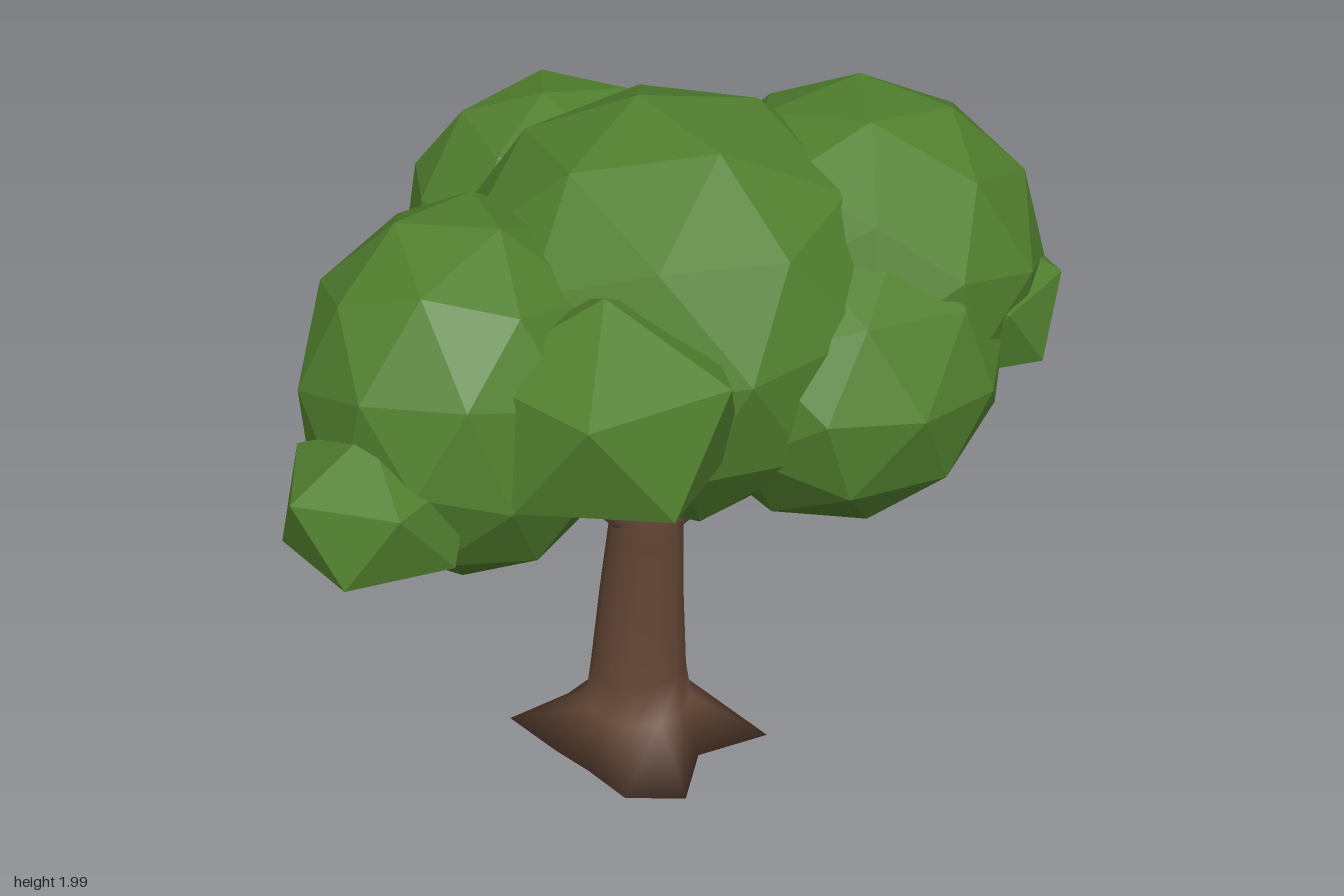
import * as THREE from 'three';

const bark = new THREE.MeshStandardMaterial({ color: 0x674938 });
bark.name = 'bark brown';
const leaf = new THREE.MeshStandardMaterial({ color: 0x517f2e });
leaf.name = 'leaf green';
leaf.flatShading = true;

// Faceted leaf clump: spin turns it about y, then tiltX and tiltZ lean its top vertex
function clump(name, detail, [x, y, z], [rx, ry, rz], spin, tiltX = 0, tiltZ = 0) {
  const g = new THREE.IcosahedronGeometry(1, detail);
  g.rotateZ(-Math.atan(2 / (1 + Math.sqrt(5))));
  g.rotateY(spin);
  g.rotateX(tiltX);
  g.rotateZ(tiltZ);
  g.scale(rx, ry, rz);
  const m = new THREE.Mesh(g, leaf);
  m.name = name;
  m.position.set(x, y, z);
  return m;
}

// Leaning trunk: stacked rings, the lowest one star-shaped for the roots
function makeTrunk() {
  const roots = [0.365, 0.21, 0.33, 0.3, 0.23, 0.25, 0.365, 0.25, 0.22, 0.3, 0.22, 0.24];
  const rings = [ // y, centre x, centre z, radius
    [0.005, -0.165, 0, 0], [0.13, -0.16, 0, 0.148], [0.25, -0.16, 0.003, 0.132],
    [0.5, -0.147, 0.02, 0.115], [0.75, -0.128, 0.055, 0.1], [0.88, -0.12, 0.085, 0.088],
    [0.91, -0.12, 0.087, 0.07],
  ];
  const n = roots.length, pos = [], idx = [];
  rings.forEach(([y, cx, cz, r], k) => {
    for (let i = 0; i < n; i++) {
      const a = (i / n) * Math.PI * 2, d = k === 0 ? roots[i] : r;
      pos.push(cx + Math.cos(a) * d, y, cz + Math.sin(a) * d);
    }
  });
  for (let k = 0; k < rings.length - 1; k++) {
    for (let i = 0; i < n; i++) {
      const a = k * n + i, b = k * n + (i + 1) % n;
      idx.push(a, a + n, b, b, a + n, b + n);
    }
  }
  // Softly shaded caps under the roots and on top
  [0, rings.length - 1].forEach((k) => {
    const c = pos.length / 3, [y, cx, cz] = rings[k];
    pos.push(cx, y, cz);
    for (let i = 0; i < n; i++) {
      const a = k * n + i, b = k * n + (i + 1) % n;
      idx.push(c, k ? b : a, k ? a : b);
    }
  });
  const g = new THREE.BufferGeometry();
  g.setAttribute('position', new THREE.Float32BufferAttribute(pos, 3));
  g.setIndex(idx);
  g.computeVertexNormals();
  const m = new THREE.Mesh(g, bark);
  m.name = 'trunk';
  return m;
}

// Tapered branch between two points
function branch(name, from, to) {
  const a = new THREE.Vector3(...from), b = new THREE.Vector3(...to);
  const dir = b.clone().sub(a);
  const m = new THREE.Mesh(new THREE.CylinderGeometry(0.026, 0.04, dir.length(), 8), bark);
  m.name = name;
  m.position.copy(a).add(b).multiplyScalar(0.5);
  m.quaternion.setFromUnitVectors(new THREE.Vector3(0, 1, 0), dir.normalize());
  return m;
}

export function createModel() {
  const tree = new THREE.Group();
  tree.name = 'tree';
  tree.add(makeTrunk());

  tree.add(
    branch('backRightBranch', [-0.15, 0.81, 0.03], [-0.37, 1.1, -0.22]),
    branch('frontRightBranch', [-0.18, 0.82, 0.11], [-0.38, 1.1, 0.27]),
    branch('leftBranch', [-0.06, 0.79, 0.065], [0.18, 1.05, 0.06]),
    branch('backLeftBranch', [-0.07, 0.83, 0.03], [0.1, 1.08, -0.01]),
  );

  // Large clumps of the crown
  const crown = new THREE.Group();
  crown.name = 'crown';
  crown.add(
    clump('centreClump', 1, [-0.06, 1.46, 0.08], [0.57, 0.54, 0.57], -Math.PI / 4, -0.1, 0.14),
    clump('leftLowerClump', 1, [0.35, 1.33, 0.0], [0.44, 0.43, 0.53], 0.9, 0.3, -0.35),
    clump('leftUpperClump', 1, [0.39, 1.49, -0.15], [0.48, 0.45, 0.47], 0.1, -0.1, -0.48),
    clump('backClump', 1, [-0.4, 1.34, -0.48], [0.44, 0.42, 0.43], 0.5, 0.1, 0.1),
    clump('frontRightClump', 1, [-0.51, 1.4, 0.42], [0.41, 0.47, 0.45], 0.2, -0.42, 0),
  );
  // Small clumps around the edge
  crown.add(
    clump('frontTuft', 0, [-0.15, 1.46, 0.58], [0.35, 0.3, 0.34], -Math.PI / 2),
    clump('frontCornerTuft', 0, [-0.67, 1.28, 0.76], [0.25, 0.21, 0.24], 0.157),
    clump('backCornerTuft', 0, [-0.62, 1.2, -0.75], [0.25, 0.22, 0.25], 0.4),
    clump('rightTuft', 0, [-0.67, 1.18, -0.14], [0.26, 0.24, 0.25], 0.2),
    clump('backTuft', 0, [0.19, 1.3, -0.54], [0.27, 0.26, 0.27], 0.4),
    clump('leftTuft', 0, [0.72, 1.39, -0.13], [0.21, 0.2, 0.27], 0),
  );
  tree.add(crown);
  return tree;
}
